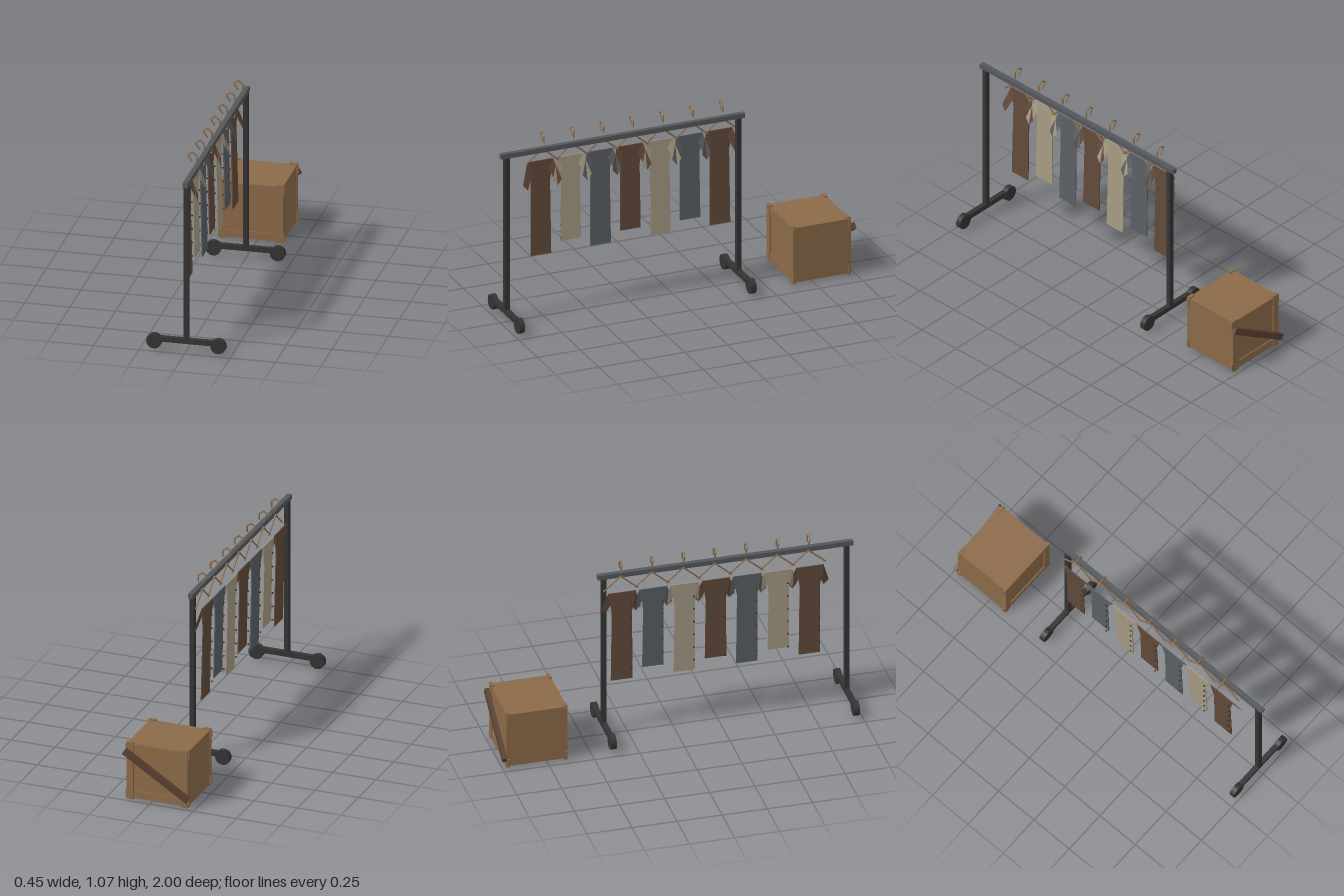
import * as THREE from 'three';

const mat = (name, color, side = THREE.FrontSide) => {
  const m = new THREE.MeshStandardMaterial({ color, side });
  m.name = name;
  return m;
};

export function createModel() {
  const model = new THREE.Group();
  model.name = 'clothesRackAndCrate';

  const darkMetal = mat('dark metal', 0x343434);
  const railMetal = mat('rail metal', 0x55585b);
  const crateWood = mat('crate wood', 0x8b6a48);
  const hangerWood = mat('hanger wood', 0x8f6e4c);
  const darkWood = mat('dark wood', 0x5a4032);
  const buttonDark = mat('button black', 0x2a2522);
  const cloths = [
    mat('brown cloth', 0x624a3b, THREE.DoubleSide),
    mat('cream cloth', 0xa69a83, THREE.DoubleSide),
    mat('grey cloth', 0x5b6064, THREE.DoubleSide),
  ];

  const add = (parent, name, geometry, material, x = 0, y = 0, z = 0) => {
    const mesh = new THREE.Mesh(geometry, material);
    mesh.name = name;
    mesh.position.set(x, y, z);
    parent.add(mesh);
    return mesh;
  };
  const group = (name, parent = model) => {
    const g = new THREE.Group();
    g.name = name;
    parent.add(g);
    return g;
  };
  // straight round bar between two points
  const rod = (parent, name, a, b, radius, material) => {
    const d = b.clone().sub(a);
    const m = add(parent, name, new THREE.CylinderGeometry(radius, radius, d.length(), 6), material);
    m.position.copy(a).add(b).multiplyScalar(0.5);
    m.quaternion.setFromUnitVectors(new THREE.Vector3(0, 1, 0), d.normalize());
  };

  // Rack: top rail, two posts, two feet with wheels
  const rack = group('rack');
  const rackX = 0.003;
  add(rack, 'topRail', new THREE.BoxGeometry(0.027, 0.027, 1.415), railMetal, rackX, 0.974, 0.2925);
  for (const z of [0.966, -0.381]) {
    add(rack, 'post', new THREE.BoxGeometry(0.027, 0.9, 0.027), darkMetal, rackX, 0.511, z);
    add(rack, 'foot', new THREE.BoxGeometry(0.353, 0.028, 0.027), darkMetal, rackX, 0.067, z);
    for (const side of [-1, 1]) {
      const wheel = new THREE.CylinderGeometry(0.042, 0.042, 0.03, 16).rotateX(Math.PI / 2);
      add(rack, 'wheel', wheel, darkMetal, rackX + side * 0.1765, 0.053, z);
    }
  }

  // Garment body: tapered sheet, leaning slightly towards the rail at the hem
  const bodyGeometry = (hem) => {
    const half = [[0.078, 0.89], [0.07, 0.85], [0.056, 0.77], [0.059, hem]];
    const shape = new THREE.Shape([
      ...half.map(([u, v]) => new THREE.Vector2(-u, v)),
      ...half.reverse().map(([u, v]) => new THREE.Vector2(u, v)),
    ]);
    const g = new THREE.ExtrudeGeometry(shape, { depth: 0.006, bevelEnabled: false });
    g.rotateY(Math.PI / 2);
    const p = g.attributes.position;
    for (let i = 0; i < p.count; i++) p.setX(i, p.getX(i) - 0.048 + (0.89 - p.getY(i)) * 0.022);
    g.computeVertexNormals();
    return g;
  };

  // Sleeve: four-cornered flap swinging out towards the rail
  const sleeveGeometry = (s) => {
    const g = new THREE.BufferGeometry();
    g.setAttribute('position', new THREE.Float32BufferAttribute([
      -0.042, 0.888, s * 0.076,
      -0.012, 0.775, s * 0.113,
      -0.007, 0.743, s * 0.086,
      -0.036, 0.84, s * 0.045,
    ], 3));
    g.setIndex(s > 0 ? [0, 2, 1, 0, 3, 2] : [0, 1, 2, 0, 2, 3]);
    g.computeVertexNormals();
    return g;
  };

  // Seven hangers with garments along the rail
  const hookPoints = [[-0.018, 1.013], [-0.042, 1.049], [-0.018, 1.067], [0.007, 1.049], [0.007, 1.013]]
    .map(([x, y]) => new THREE.Vector3(x, y, 0));
  for (let i = 0; i < 7; i++) {
    const z = 0.75 - i * 0.1735;
    const hanger = group('hanger');
    hanger.position.z = z;
    for (let k = 0; k < 4; k++) rod(hanger, 'hook', hookPoints[k], hookPoints[k + 1], 0.0045, hangerWood);
    for (const s of [-1, 1]) {
      rod(hanger, 'hangerArm', new THREE.Vector3(-0.016, 0.972, 0),
        new THREE.Vector3(-0.016, 0.89, s * 0.095), 0.0045, hangerWood);
    }
    const garment = group('garment');
    garment.position.z = z;
    const cloth = cloths[i % 3];
    add(garment, 'garmentBody', bodyGeometry(i % 2 ? 0.405 : 0.347), cloth);
    for (const s of [-1, 1]) add(garment, 'sleeve', sleeveGeometry(s), cloth);
    for (let b = 0; b < 6; b++) {
      add(garment, 'button', new THREE.SphereGeometry(0.005, 8, 6), buttonDark, -0.049, 0.805 - b * 0.078, 0.05);
    }
  }

  // Crate: box with framed front and back and a diagonal brace behind
  const crate = group('crate');
  crate.position.set(-0.032, 0, -0.807);
  add(crate, 'crateBody', new THREE.BoxGeometry(0.35, 0.316, 0.322), crateWood, 0, 0.169, 0);
  for (const face of [-1, 1]) {
    for (const s of [-1, 1]) {
      add(crate, 'cornerBoard', new THREE.BoxGeometry(0.04, 0.332, 0.02), crateWood, s * 0.157, 0.169, face * 0.159);
      add(crate, 'crossBoard', new THREE.BoxGeometry(0.367, 0.042, 0.016), crateWood, 0, 0.169 + s * 0.136, face * 0.159);
    }
  }
  const brace = add(crate, 'diagonalBrace', new THREE.BoxGeometry(0.435, 0.035, 0.024), darkWood, 0, 0.17, -0.181);
  brace.rotation.z = 0.56;

  return model;
}
